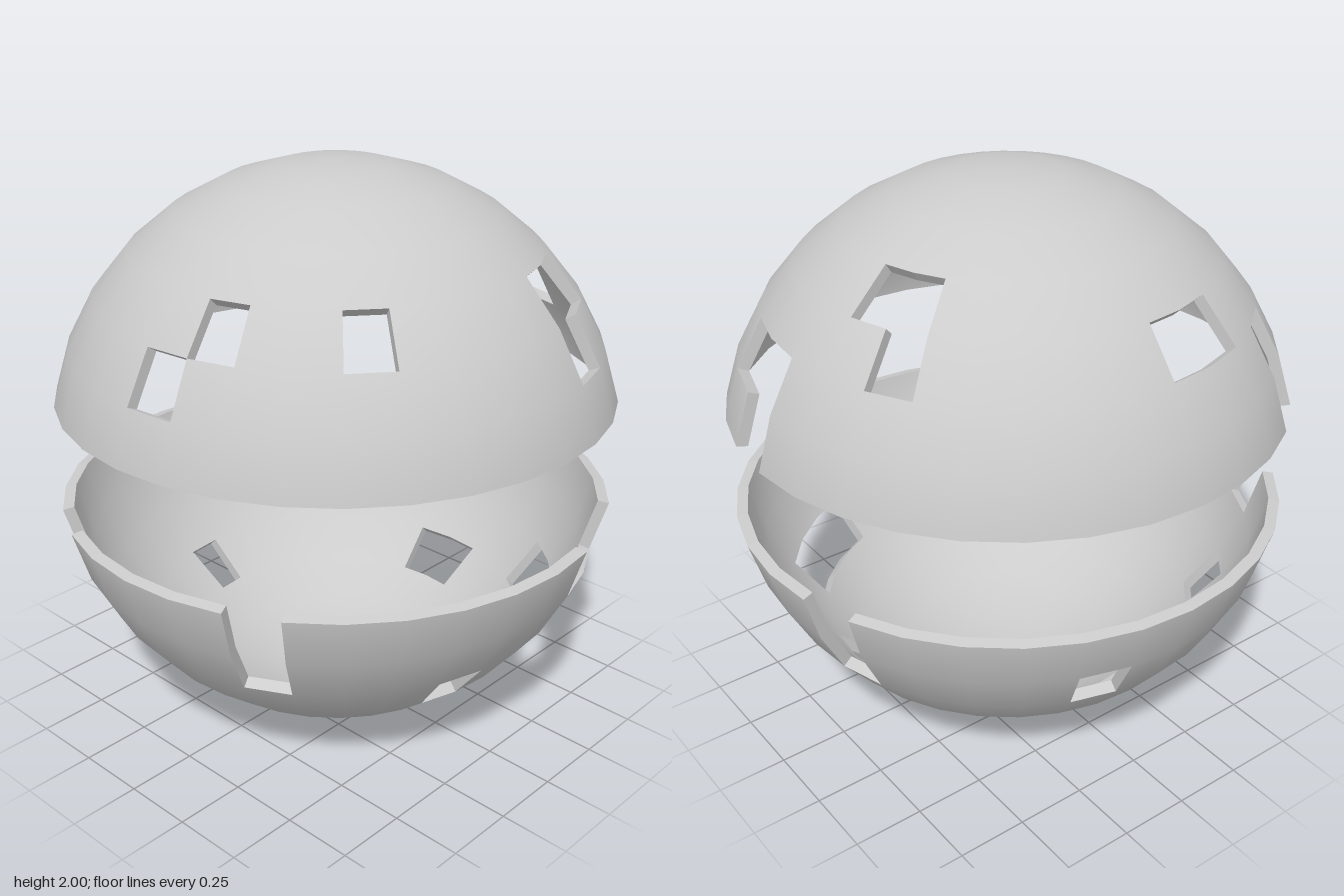
import * as THREE from 'three';

const STEP = Math.PI / 16; // one cell of the 32 x 16 sphere grid
const COLS = 32;
const INNER = 0.96;

// One hollow cap: side is +1 (upper) or -1 (lower).
// openings: [row, first column, column count]; row 1 touches the rim, column 0 starts at the front.
function shell(name, side, openings) {
  const open = new Set();
  for (const [row, col, count] of openings) {
    for (let k = 0; k < count; k++) open.add(row * COLS + ((col + k) % COLS));
  }
  const solid = (row, col) =>
    row > 7 || (row >= 1 && !open.has(row * COLS + ((col + COLS) % COLS)));

  const dir = (row, col) => {
    const e = row === 8 ? Math.PI / 2 : row * STEP;
    const a = col * STEP;
    return new THREE.Vector3(
      Math.cos(e) * Math.sin(a), side * Math.sin(e), Math.cos(e) * Math.cos(a));
  };

  const positions = [], normals = [];
  const triangle = (pts, nrm) => pts.forEach((p, i) => {
    positions.push(p.x, p.y + 1, p.z);
    normals.push(nrm[i].x, nrm[i].y, nrm[i].z);
  });
  const quad = (p, n) => {
    triangle([p[0], p[1], p[2]], [n[0], n[1], n[2]]);
    triangle([p[0], p[2], p[3]], [n[0], n[2], n[3]]);
  };

  for (let row = 1; row < 8; row++) {
    for (let col = 0; col < COLS; col++) {
      if (!solid(row, col)) continue;
      // Corners run anticlockwise as seen from outside
      let c = [dir(row, col), dir(row, col + 1), dir(row + 1, col + 1), dir(row + 1, col)];
      let near = [[row - 1, col], [row, col + 1], [row + 1, col], [row, col - 1]];
      if (side < 0) {
        c = [c[1], c[0], c[3], c[2]];
        near = [near[0], near[3], near[2], near[1]];
      }
      const inside = c.map((v) => v.clone().multiplyScalar(INNER));
      // Smooth outer and inner skins
      quad(c, c);
      quad([...inside].reverse(), c.map((v) => v.clone().negate()).reverse());
      // Flat walls along the rim and around the openings
      near.forEach(([r, k], i) => {
        if (solid(r, k)) return;
        const j = (i + 1) % 4;
        const wall = [c[j], c[i], inside[i], inside[j]];
        const n = wall[1].clone().sub(wall[0])
          .cross(wall[2].clone().sub(wall[0])).normalize();
        quad(wall, [n, n, n, n]);
      });
    }
  }

  const geometry = new THREE.BufferGeometry();
  geometry.setAttribute('position', new THREE.Float32BufferAttribute(positions, 3));
  geometry.setAttribute('normal', new THREE.Float32BufferAttribute(normals, 3));
  const mesh = new THREE.Mesh(geometry, new THREE.MeshStandardMaterial({ color: 0xcccccc }));
  mesh.name = name;
  return mesh;
}

export function createModel() {
  const group = new THREE.Group();
  group.name = 'splitSphere';
  group.add(shell('upperShell', 1, [
    [1, 15, 1], [1, 27, 1],
    [2, 0, 1], [2, 9, 1], [2, 14, 2], [2, 27, 1],
    [3, 1, 1], [3, 4, 1], [3, 9, 2], [3, 18, 1], [3, 24, 2],
    [4, 17, 2],
  ]));
  group.add(shell('lowerShell', -1, [
    [1, 2, 1], [1, 9, 2], [1, 17, 1], [1, 29, 1],
    [2, 2, 1], [2, 17, 1], [2, 22, 1],
    [3, 6, 1], [3, 10, 3], [3, 28, 1],
    [4, 15, 2], [4, 24, 1],
  ]));
  return group;
}
